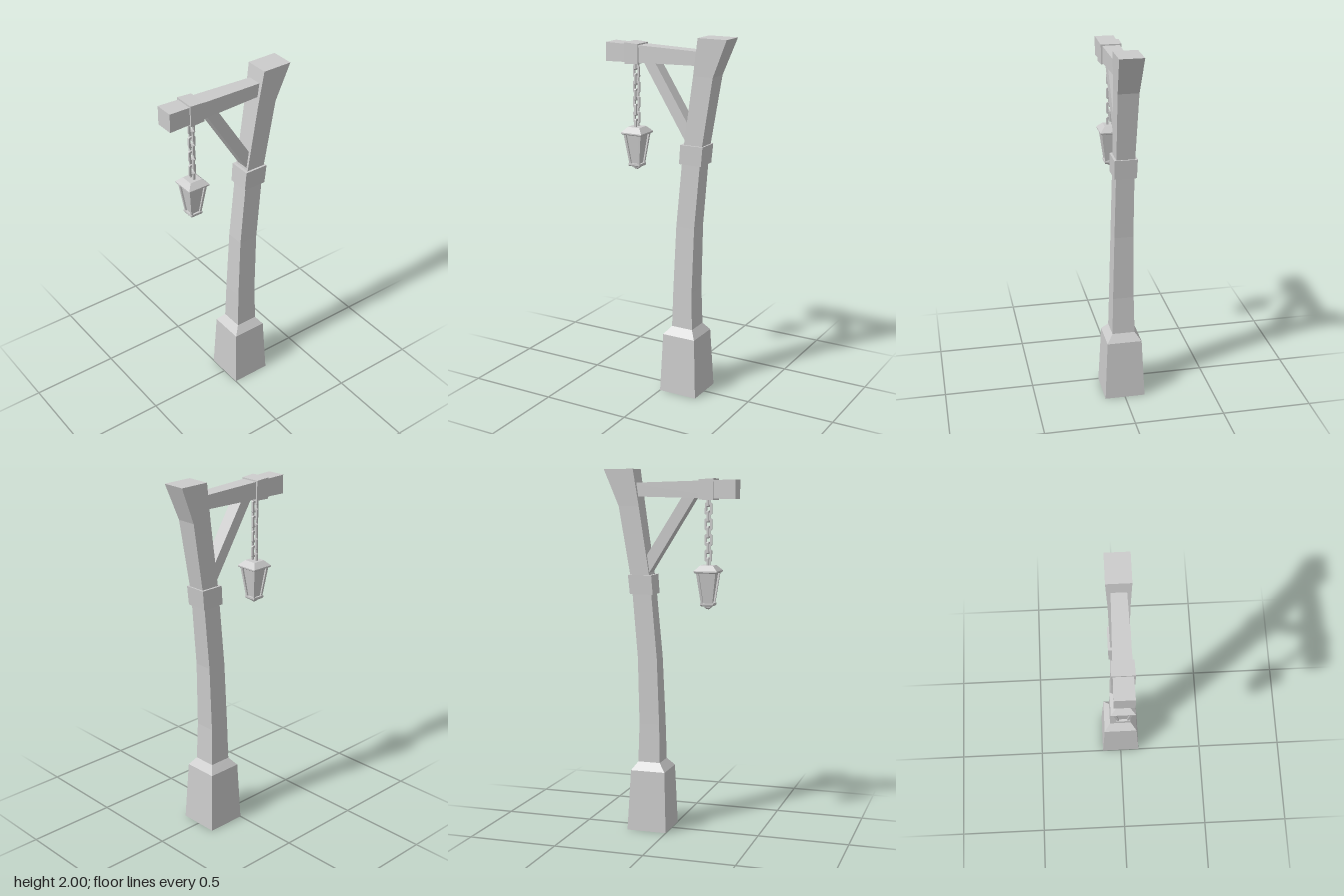
import * as THREE from 'three';

const material = new THREE.MeshStandardMaterial({ color: 0xcccccc, flatShading: true, side: THREE.DoubleSide });

// Skin a list of four-cornered rings, with optional end caps
function loft(name, rings, capStart = true, capEnd = true) {
  const pos = [];
  const quad = (a, b, c, d) => pos.push(...a, ...b, ...c, ...a, ...c, ...d);
  for (let r = 0; r < rings.length - 1; r++) {
    const lo = rings[r], hi = rings[r + 1];
    for (let i = 0; i < 4; i++) {
      const j = (i + 1) % 4;
      quad(lo[i], lo[j], hi[j], hi[i]);
    }
  }
  const first = rings[0], last = rings[rings.length - 1];
  if (capStart) quad(first[3], first[2], first[1], first[0]);
  if (capEnd) quad(last[0], last[1], last[2], last[3]);
  const geo = new THREE.BufferGeometry();
  geo.setAttribute('position', new THREE.Float32BufferAttribute(pos, 3));
  geo.computeVertexNormals();
  const mesh = new THREE.Mesh(geo, material);
  mesh.name = name;
  return mesh;
}

// Horizontal ring: height, half width, front z, back z
const level = ([y, hx, zf, zb]) => [[hx, y, zf], [hx, y, zb], [-hx, y, zb], [-hx, y, zf]];
// Upright ring: z, half width, bottom y, top y
const upright = ([z, hx, y0, y1]) => [[hx, y0, z], [hx, y1, z], [-hx, y1, z], [-hx, y0, z]];
// Square horizontal ring: height, half size, centre x and z
const square = (y, h, x = 0, z = 0) =>
  [[x + h, y, z + h], [x + h, y, z - h], [x - h, y, z - h], [x - h, y, z + h]];

// Rectangular chain link with a hole
function linkGeometry(w, h, t) {
  const rect = (path, hw, hh, c) => path.moveTo(-hw + c, -hh).lineTo(hw - c, -hh).lineTo(hw, -hh + c)
    .lineTo(hw, hh - c).lineTo(hw - c, hh).lineTo(-hw + c, hh).lineTo(-hw, hh - c).lineTo(-hw, -hh + c).closePath();
  const shape = new THREE.Shape();
  rect(shape, w / 2, h / 2, 0.005);
  const hole = new THREE.Path();
  rect(hole, w / 2 - t, h / 2 - t, 0.002);
  shape.holes.push(hole);
  return new THREE.ExtrudeGeometry(shape, { depth: t, bevelEnabled: false }).translate(0, 0, -t / 2);
}

function createLantern() {
  const lantern = new THREE.Group();
  lantern.name = 'lantern';
  lantern.add(loft('lanternRoof', [square(1.445, 0.058), square(1.45, 0.064), square(1.457, 0.064), square(1.486, 0.036)]));
  lantern.add(loft('lanternPanes', [square(1.28, 0.024), square(1.446, 0.044)]));
  // Leaning corner bars
  for (const sx of [-1, 1]) for (const sz of [-1, 1]) {
    lantern.add(loft('lanternCornerBar', [
      square(1.278, 0.006, sx * 0.026, sz * 0.026),
      square(1.446, 0.007, sx * 0.047, sz * 0.047),
    ]));
  }
  lantern.add(loft('lanternBase', [square(1.266, 0.032), square(1.272, 0.036), square(1.282, 0.036)]));
  lantern.add(loft('lanternTip', [square(1.248, 0.006), square(1.257, 0.016), square(1.268, 0.018)]));
  return lantern;
}

export function createModel() {
  const model = new THREE.Group();
  model.name = 'lanternPost';
  const hangZ = 0.207;

  // Curved post with a flared foot, open underneath
  model.add(loft('post', [
    [0, 0.113, 0, -0.225],
    [0.34, 0.097, -0.012, -0.208],
    [0.385, 0.063, -0.05, -0.176],
    [0.6, 0.058, -0.055, -0.17],
    [0.97, 0.052, -0.07, -0.18],
    [1.38, 0.049, -0.107, -0.215],
    [1.8, 0.056, -0.17, -0.285],
    [2, 0.065, -0.2, -0.367],
  ].map(level), false, true));

  model.add(loft('postCollar', [
    [1.322, 0.06, -0.09, -0.222],
    [1.428, 0.062, -0.098, -0.232],
  ].map(level)));

  // Tapered arm, its band and the diagonal brace
  model.add(loft('arm', [
    [-0.23, 0.039, 1.853, 1.925],
    [0.367, 0.052, 1.84, 1.943],
  ].map(upright)));
  model.add(loft('armBand', [
    [0.166, 0.056, 1.837, 1.944],
    [0.248, 0.058, 1.834, 1.949],
  ].map(upright)));
  model.add(loft('brace', [
    [1.42, 0.037, -0.13, -0.205],
    [1.86, 0.037, 0.147, 0.075],
  ].map(level)));

  // Chain of alternating links
  const chain = new THREE.Group();
  chain.name = 'chain';
  const link = linkGeometry(0.04, 0.064, 0.011);
  for (let i = 0; i < 9; i++) {
    const mesh = new THREE.Mesh(link, material);
    mesh.name = 'chainLink';
    mesh.position.set(0, 1.83 - i * 0.0417, hangZ);
    mesh.rotation.y = i % 2 ? Math.PI / 2 : 0;
    chain.add(mesh);
  }
  model.add(chain);

  const lantern = createLantern();
  lantern.position.z = hangZ;
  model.add(lantern);
  return model;
}
